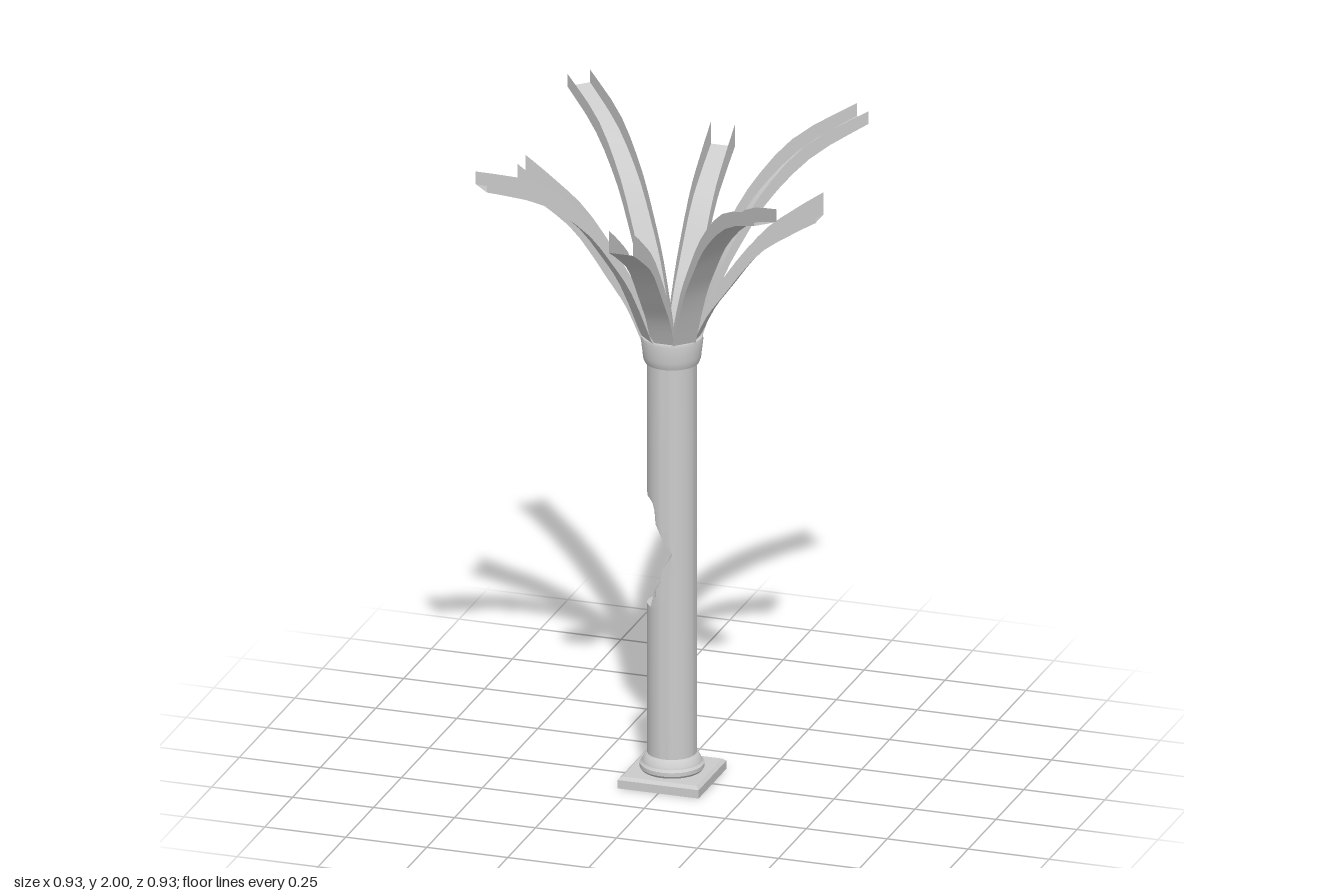
import * as THREE from 'three';
import { toCreasedNormals } from 'three/addons/utils/BufferGeometryUtils.js';

const material = new THREE.MeshStandardMaterial({ color: 0xcccccc });
const thinMaterial = new THREE.MeshStandardMaterial({ color: 0xcccccc, side: THREE.DoubleSide });
const v2 = (pairs) => pairs.map(([x, y]) => new THREE.Vector2(x, y));

function addMesh(parent, name, geometry, mat = material) {
  const mesh = new THREE.Mesh(geometry, mat);
  mesh.name = name;
  parent.add(mesh);
  return mesh;
}

const lathe = (pairs, sides) =>
  toCreasedNormals(new THREE.LatheGeometry(v2(pairs), sides), 0.5);

// Shaft with a broken bite cut into its -x side: [height, cut plane x]
function shaftGeometry() {
  const radius = 0.073;
  const rows = [
    [0.06, -1], [0.54, -1], [0.555, -0.07], [0.562, -0.04], [0.61, -0.032], [0.645, -0.012],
    [0.68, 0.0], [0.73, 0.02], [0.77, -0.005], [0.82, -0.022], [0.86, -0.034],
    [0.88, -0.045], [0.895, -0.068], [0.91, -1], [1.33, -1],
  ];
  const geometry = new THREE.LatheGeometry(v2(rows.map(([y]) => [radius, y])), 48);
  const p = geometry.attributes.position;
  for (let i = 0; i < p.count; i++) {
    const row = i % rows.length;
    const cut = rows[row][1];
    if (cut < -radius) continue;
    const jag = 0.006 * Math.sin(p.getZ(i) * 70 + row * 2.1);
    p.setX(i, Math.max(p.getX(i), cut + jag));
  }
  return toCreasedNormals(geometry, 0.5);
}

// Open U-shaped rib along +x, lofted between a web curve and a flange-edge curve
function ribGeometry(web, edge, halfWidth) {
  const steps = 14;
  const low = new THREE.SplineCurve(v2(web)).getPoints(steps);
  const high = new THREE.SplineCurve(v2(edge)).getPoints(steps);
  const positions = [];
  const index = [];
  for (let i = 0; i <= steps; i++) {
    const l = low[i], h = high[i];
    positions.push(h.x, h.y, -halfWidth, l.x, l.y, -halfWidth, l.x, l.y, halfWidth, h.x, h.y, halfWidth);
    if (i === steps) continue;
    for (let j = 0; j < 3; j++) {
      const a = i * 4 + j;
      index.push(a, a + 4, a + 1, a + 1, a + 4, a + 5);
    }
  }
  const geometry = new THREE.BufferGeometry();
  geometry.setAttribute('position', new THREE.Float32BufferAttribute(positions, 3));
  geometry.setIndex(index);
  return toCreasedNormals(geometry, 0.6);
}

export function createModel() {
  const model = new THREE.Group();
  model.name = 'brokenColumn';

  // Square plinth with a chamfered upper edge
  const plinth = addMesh(model, 'plinth', new THREE.BoxGeometry(0.25, 0.026, 0.25));
  plinth.position.y = 0.013;
  const chamfer = new THREE.CylinderGeometry(0.115 * Math.SQRT2, 0.125 * Math.SQRT2, 0.009, 4, 1);
  chamfer.rotateY(Math.PI / 4);
  const plinthTop = addMesh(model, 'plinthTop', toCreasedNormals(chamfer, 0.3));
  plinthTop.position.y = 0.0305;

  // Moulded foot, shaft and flared capital
  addMesh(model, 'baseMoulding', lathe([
    [0.09, 0.035], [0.095, 0.042], [0.095, 0.054], [0.088, 0.061],
    [0.087, 0.065], [0.078, 0.083], [0.073, 0.087],
  ], 32));
  addMesh(model, 'shaft', shaftGeometry());
  addMesh(model, 'capital', lathe([
    [0.072, 1.312], [0.08, 1.312], [0.085, 1.325], [0.086, 1.335],
    [0.092, 1.385], [0.09, 1.393], [0.07, 1.393],
  ], 24));

  // Eight vault ribs: short ones on the axes, long ones on the diagonals
  const shortRib = ribGeometry(
    [[0.07, 1.36], [0.12, 1.47], [0.175, 1.55], [0.28, 1.69], [0.38, 1.765], [0.46, 1.815]],
    [[0.06, 1.38], [0.11, 1.49], [0.165, 1.59], [0.27, 1.735], [0.37, 1.82], [0.46, 1.885]],
    0.037);
  const longRib = ribGeometry(
    [[0.07, 1.36], [0.145, 1.55], [0.21, 1.66], [0.30, 1.78], [0.44, 1.89], [0.62, 1.96]],
    [[0.06, 1.38], [0.125, 1.56], [0.19, 1.68], [0.28, 1.81], [0.42, 1.93], [0.62, 2.0]],
    0.037);
  const ribs = new THREE.Group();
  ribs.name = 'vaultRibs';
  for (let i = 0; i < 8; i++) {
    const diagonal = i % 2 === 1;
    const rib = addMesh(ribs, diagonal ? 'diagonalRib' : 'axialRib', diagonal ? longRib : shortRib, thinMaterial);
    rib.rotation.y = (i * Math.PI) / 4;
    if (!diagonal) rib.position.set(i % 4 === 0 ? -0.005 : -0.002, 0, i % 4 === 0 ? 0 : -0.005);
  }
  model.add(ribs);

  return model;
}
